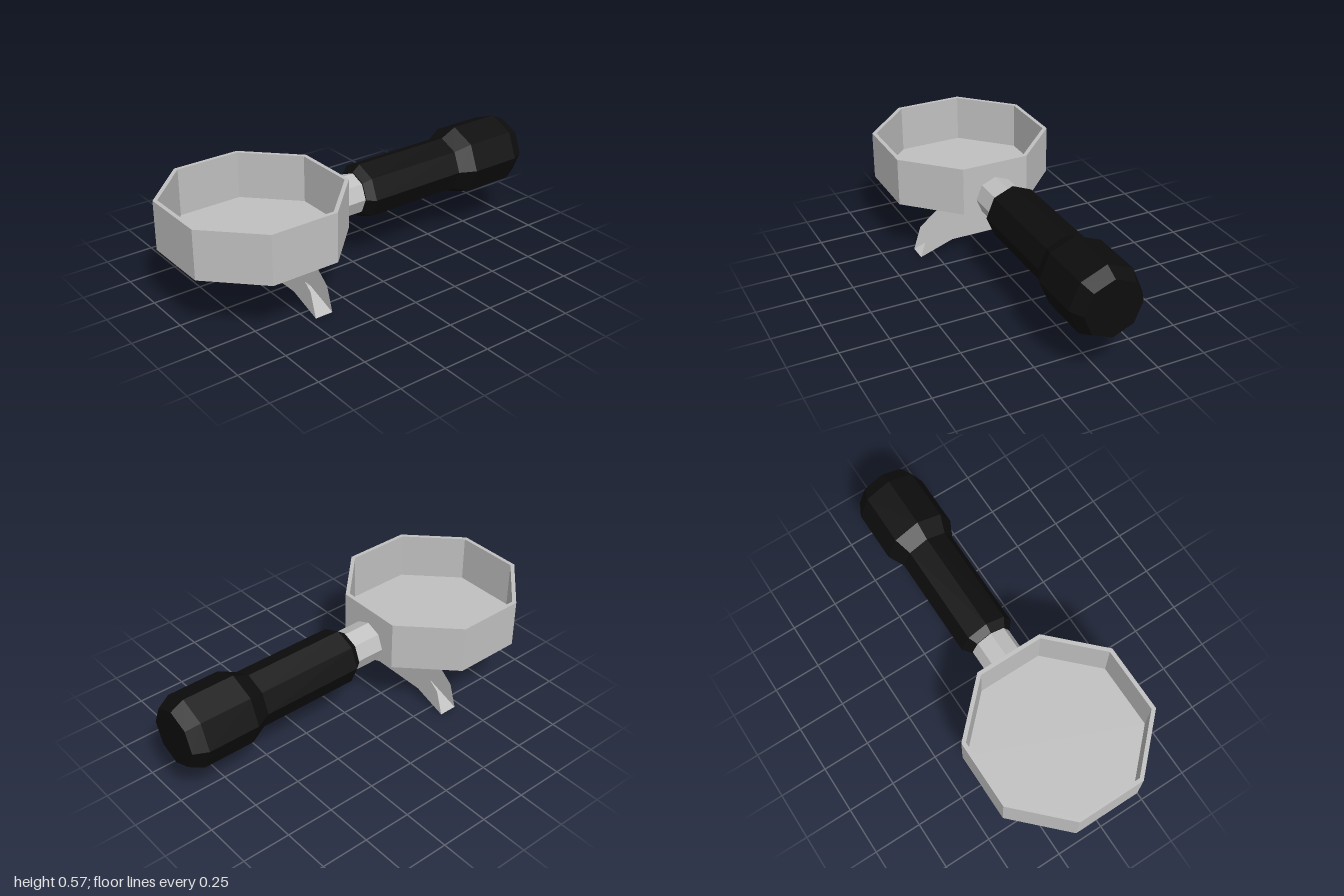
import * as THREE from 'three';

const SIDES = 8;
const AXIS_Y = 0.393;   // height of the handle axis
const CUP_X = -0.577;   // centre of the basket

const steel = new THREE.MeshStandardMaterial({ color: 0xc0c0c0, flatShading: true, side: THREE.DoubleSide });
steel.name = 'steel';
const black = new THREE.MeshStandardMaterial({ color: 0x0d0d0d, flatShading: true });
black.name = 'black grip';

function add(parent, name, geometry, material) {
  const mesh = new THREE.Mesh(geometry, material);
  mesh.name = name;
  parent.add(mesh);
  return mesh;
}

// Eight-sided turned part; points are [radius, position along the axis]
function turned(points, phiStart = 0) {
  return new THREE.LatheGeometry(points.map(([r, h]) => new THREE.Vector2(r, h)), SIDES, phiStart);
}

function shapeOf(points) {
  return new THREE.Shape(points.map(([a, b]) => new THREE.Vector2(a, b)));
}

export function createModel() {
  const model = new THREE.Group();
  model.name = 'portafilter';
  const flat = 1 / Math.cos(Math.PI / SIDES);   // apothem to corner radius

  // Open basket with a thin floor
  const outer = 0.423 * flat, inner = 0.403 * flat;
  add(model, 'basket', turned([
    [0, 0.325], [outer, 0.325], [outer, 0.577], [inner, 0.577], [inner, 0.333], [0, 0.333],
  ], Math.PI / SIDES), steel).position.x = CUP_X;

  // Grip, flaring towards its end
  const grip = turned([
    [0, 0], [0.112, 0], [0.143, 0.04], [0.143, 0.575], [0.184, 0.66], [0.184, 0.93], [0.148, 1], [0, 1],
  ]).rotateZ(-Math.PI / 2);
  add(model, 'grip', grip, black).position.y = AXIS_Y;

  // Neck between basket and grip
  const neck = turned([[0, -0.165], [0.105, -0.165], [0.105, 0.01], [0, 0.01]]).rotateZ(-Math.PI / 2);
  add(model, 'neck', neck, steel).position.y = AXIS_Y;

  // Keel of the neck running on under the basket
  const keel = new THREE.ExtrudeGeometry(
    shapeOf([[0, 0.288], [0.074, 0.319], [0.076, 0.326], [-0.076, 0.326], [-0.074, 0.319]]),
    { depth: 0.18, bevelEnabled: false }).rotateY(Math.PI / 2);
  add(model, 'neckKeel', keel, steel).position.x = -0.33;

  // Outlet below the basket, its far lower edge slightly raised
  const outlet = turned([[0, 0.145], [0.115 * flat, 0.145], [0.115 * flat, 0.326]], Math.PI / SIDES);
  const op = outlet.attributes.position;
  for (let i = 0; i < op.count; i++) {
    if (op.getX(i) < -0.1 && op.getY(i) < 0.2) op.setY(i, 0.16);
  }
  add(model, 'outlet', outlet, steel).position.x = CUP_X;

  // Twin spout: an open-topped channel with two side plates
  const spout = new THREE.Group();
  spout.name = 'spout';
  model.add(spout);
  const xBack = -0.465, xFront = -0.37;
  const half = [[0.15, 0.065], [0.33, 0.003], [0.29, 0.128], [0.192, 0.205], [0.05, 0.237]];
  const outline = [...half, ...half.map(([z, y]) => [-z, y]).reverse()];
  for (const [name, x] of [['spoutBackPlate', xBack], ['spoutFrontPlate', xFront]]) {
    add(spout, name, new THREE.ShapeGeometry(shapeOf(outline)).rotateY(Math.PI / 2), steel).position.x = x;
  }

  // Channel floor, sloping down to both ends
  const floor = new THREE.PlaneGeometry(xFront - xBack, 0.66, 1, 3).rotateX(-Math.PI / 2);
  const fp = floor.attributes.position;
  for (let i = 0; i < fp.count; i++) {
    const z = fp.getZ(i), end = Math.abs(z) > 0.2;
    fp.setY(i, end ? 0.003 : 0.065);
    fp.setZ(i, Math.sign(z) * (end ? 0.33 : 0.15));
  }
  floor.computeVertexNormals();
  add(spout, 'spoutFloor', floor, steel).position.x = (xBack + xFront) / 2;

  return model;
}
